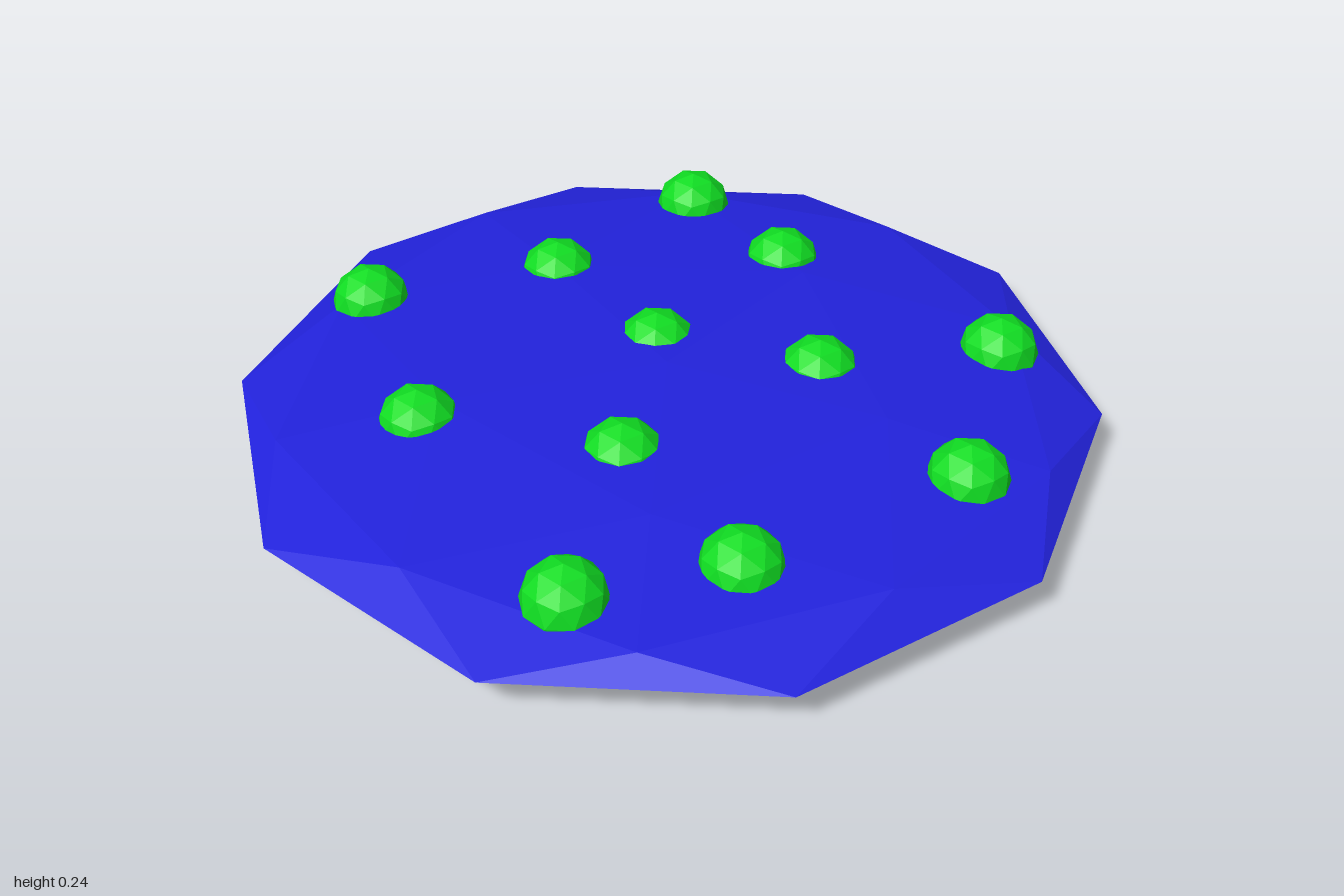
import * as THREE from 'three';

// Faceted ball with a corner at each pole, stretched to the given half-sizes
function facetedBall(rx, ry, rz) {
  const geometry = new THREE.IcosahedronGeometry(1, 1);
  geometry.rotateZ(-Math.atan(2 / (1 + Math.sqrt(5)))); // bring one corner to the top
  geometry.scale(rx, ry, rz);
  geometry.computeVertexNormals(); // one normal per face
  return geometry;
}

export function createModel() {
  const blue = new THREE.MeshStandardMaterial({ name: 'blue', color: 0x2222dc, flatShading: true });
  const green = new THREE.MeshStandardMaterial({ name: 'green', color: 0x10dc22, flatShading: true });
  const model = new THREE.Group();
  model.name = 'studdedDisc';

  // Flattened lens-shaped body
  const disc = new THREE.Mesh(facetedBall(1, 0.1, 1), blue);
  disc.name = 'disc';
  disc.position.y = 0.1;
  model.add(disc);

  // Round studs sunk into the top, as [x, z]
  const studPositions = [
    [-0.23, -0.765], [0.08, -0.58], [0.68, -0.4], [-0.42, -0.325],
    [-0.075, -0.125], [0.315, -0.16], [-0.795, -0.045], [0.735, 0.095],
    [-0.455, 0.355], [0.015, 0.3], [0.38, 0.545], [0.085, 0.765],
  ];
  const studGeometry = facetedBall(0.095, 0.095, 0.095);
  const studs = new THREE.Group();
  studs.name = 'studs';
  studPositions.forEach(([x, z], i) => {
    const stud = new THREE.Mesh(studGeometry, green);
    stud.name = `stud${i + 1}`;
    stud.position.set(x, 0.145, z);
    studs.add(stud);
  });
  model.add(studs);

  return model;
}
